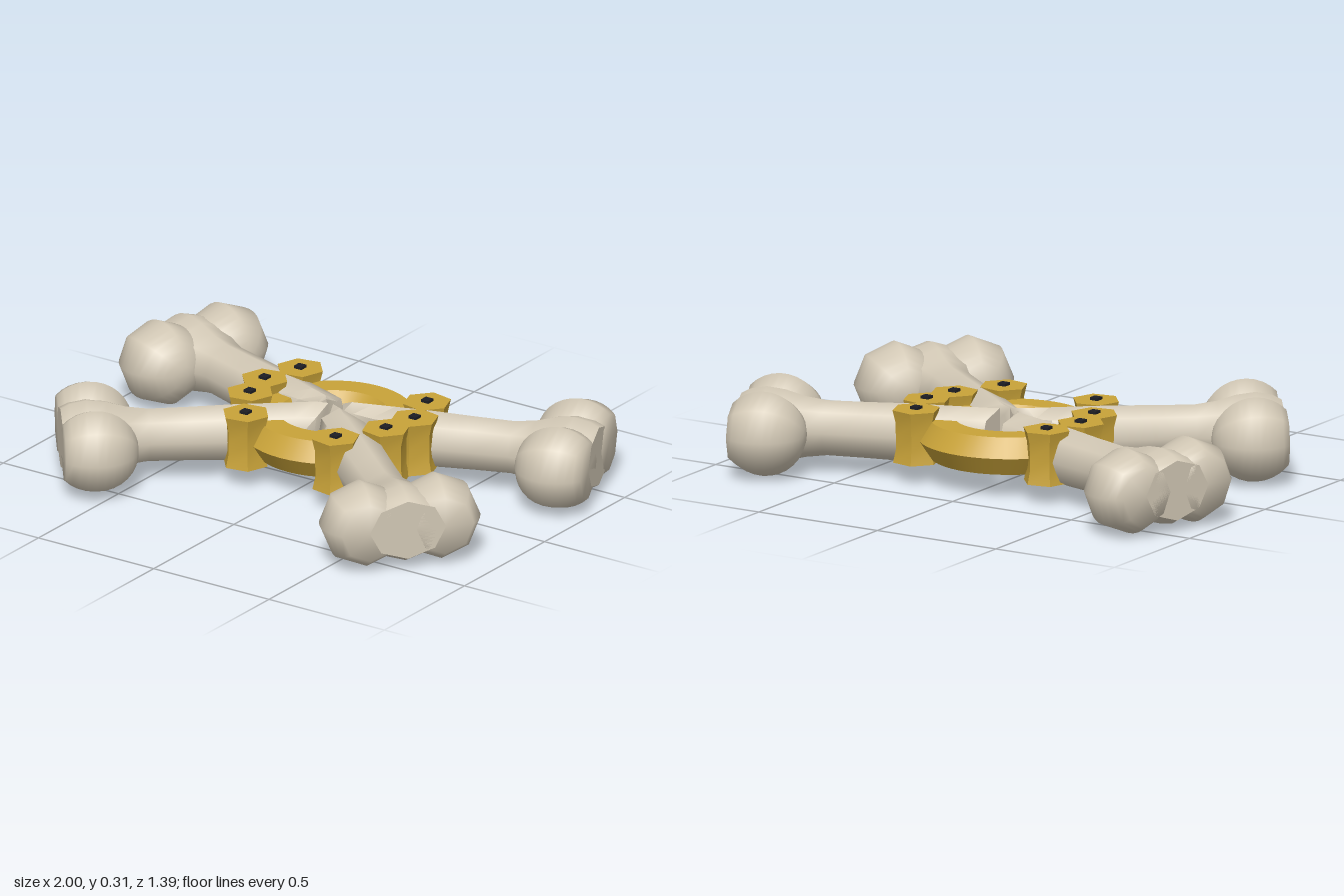
import * as THREE from 'three';
import { toCreasedNormals } from 'three/addons/utils/BufferGeometryUtils.js';

const mat = (name, color) => {
  const m = new THREE.MeshStandardMaterial({ color });
  m.name = name;
  return m;
};

// Eight-sided body of revolution lying along +x; profile is [radius, x]
function turned(profile) {
  const pts = profile.map(([r, x]) => new THREE.Vector2(r, x));
  return new THREE.LatheGeometry(pts, 8).rotateZ(-Math.PI / 2);
}

// Change every vertex by a rule
function reshape(geo, rule) {
  const p = geo.attributes.position, v = new THREE.Vector3();
  for (let i = 0; i < p.count; i++) {
    rule(v.fromBufferAttribute(p, i));
    p.setXYZ(i, v.x, v.y, v.z);
  }
  return geo;
}

const KNOB = 0.155, END = 0.113, LOBE = 0.138, BONE_Y = 0.156;

// Shaft that widens sideways between the two lobes of the knob
function shaftGeometry() {
  const geo = turned([
    [0, -0.88], [0.105, -0.88], [0.107, -0.8], [0.107, -0.72], [0.107, -0.64],
    [0.107, -0.5], [0.103, -0.35], [0.101, -0.2], [0.112, -0.12], [0.132, -0.05],
    [0.14, 0.02], [0.128, 0.08], [0.11, END], [0, END],
  ]);
  return reshape(geo, (v) => {
    v.z *= 0.93 + 0.35 * THREE.MathUtils.smoothstep(v.x, -0.2, 0.02);
  });
}

// Ball cut flat on its outer side
function lobeGeometry(side) {
  const profile = [];
  const stop = Math.asin(END / KNOB);
  for (let i = 0; i <= 12; i++) {
    const a = -Math.PI / 2 + (stop + Math.PI / 2) * i / 12;
    profile.push([Math.max(0, KNOB * Math.cos(a)), KNOB * Math.sin(a)]);
  }
  profile.push([0, END]);
  return turned(profile).translate(0, 0, side * LOBE);
}

export function createModel() {
  const model = new THREE.Group();
  const bone = mat('bone', 0xd3c9b6);
  const gold = mat('gold', 0xc9a339);
  const dark = mat('dark bolt', 0x1d1e24);
  const add = (parent, name, geo, material) => {
    const mesh = new THREE.Mesh(geo, material);
    mesh.name = name;
    parent.add(mesh);
    return mesh;
  };

  // Central ring with a low, six-sided section
  const ring = new THREE.TorusGeometry(0.24, 0.09, 6, 48).rotateX(Math.PI / 2).scale(1, 0.88, 1);
  add(model, 'ring', toCreasedNormals(ring.translate(0, 0.158, -0.12), 0.7), gold);

  // Bones: knob centre, heading, and the limits that mitre the inner ends
  const bones = [
    { name: 'back', x: 0.813, z: -0.418, turn: 0.335, minX: 0.036, trim: (z) => Math.min(z, -0.13) },
    { name: 'front', x: 0.667, z: 0.425, turn: -0.693, minX: 0.01, trim: (z) => Math.max(z, -0.105) },
  ];
  for (const side of [1, -1]) {
    for (const b of bones) {
      const group = new THREE.Group();
      group.name = `${b.name}${side > 0 ? 'Left' : 'Right'}Bone`;
      model.add(group);
      const place = (geo) => geo
        .rotateY(side > 0 ? b.turn : Math.PI - b.turn)
        .translate(side * b.x, BONE_Y, b.z);
      const shaft = reshape(place(shaftGeometry()), (v) => {
        v.x = side * Math.max(side * v.x, b.minX);
        if (Math.abs(v.x) < 0.4) v.z = b.trim(v.z);
      });
      add(group, 'shaft', toCreasedNormals(shaft, 0.9), bone);
      for (const s of [1, -1]) {
        add(group, 'knobLobe', toCreasedNormals(place(lobeGeometry(s)), 0.9), bone);
      }
    }
  }

  // Waisted clamp blocks on both flanks of each bone, each with a bolt on top
  const clamps = [
    [0.275, -0.31, 0.335], [0.325, -0.16, 0.335],
    [0.295, -0.025, -0.693], [0.195, 0.145, -0.693],
  ];
  for (const side of [1, -1]) {
    for (const [x, z, turn] of clamps) {
      const block = new THREE.CylinderGeometry(0.088, 0.086, 0.192, 6, 4);
      reshape(block, (v) => {
        const k = Math.abs(v.y) < 0.06 ? 0.87 : 1;
        v.x *= k;
        v.z *= k;
      });
      block.rotateY(side * turn).translate(side * x, 0.168, z);
      add(model, 'clampBlock', toCreasedNormals(block, 0.6), gold);
      const bolt = add(model, 'bolt', new THREE.BoxGeometry(0.032, 0.012, 0.032), dark);
      bolt.position.set(side * x, 0.268, z);
    }
  }
  return model;
}
